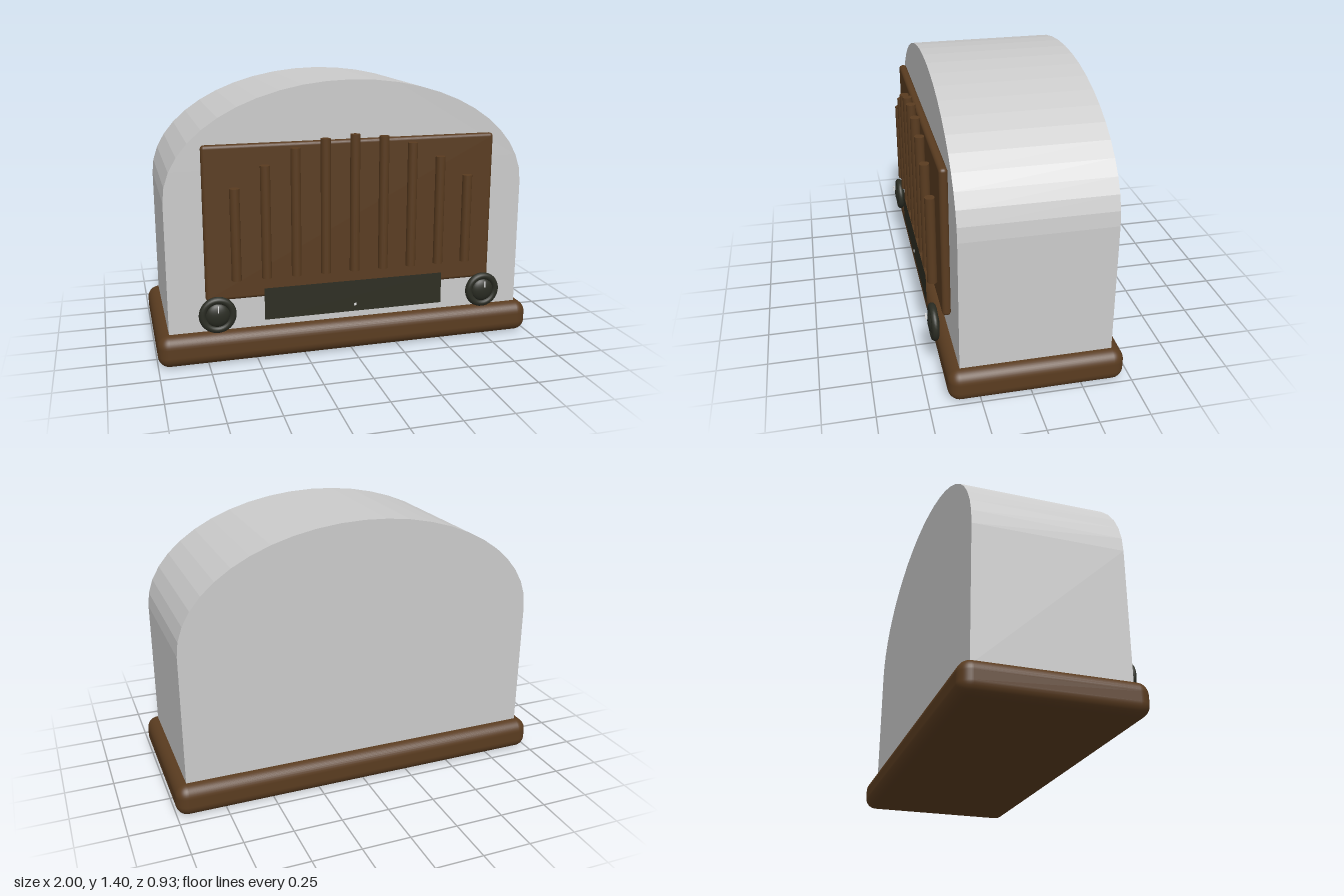
import * as THREE from 'three';
import { RoundedBoxGeometry } from 'three/addons/geometries/RoundedBoxGeometry.js';

const material = (name, color, extra = {}) => {
  const m = new THREE.MeshStandardMaterial({ color, ...extra });
  m.name = name;
  return m;
};

export function createModel() {
  const shell = material('pale grey shell', 0xcbcbcb);
  const wood = material('brown wood', 0x5a3c20);
  const dialDark = material('dark olive dial', 0x2e2e22, { side: THREE.DoubleSide });
  const knobDark = material('dark knob', 0x2b2d24);
  const white = material('white marking', 0xe8e8e8);

  const model = new THREE.Group();
  model.name = 'tableRadio';
  const add = (name, geometry, mat, x, y, z, parent = model) => {
    const mesh = new THREE.Mesh(geometry, mat);
    mesh.name = name;
    mesh.position.set(x, y, z);
    parent.add(mesh);
    return mesh;
  };

  // Rounded plinth
  add('base', new RoundedBoxGeometry(2, 0.165, 0.87, 5, 0.06), wood, 0, 0.0825, -0.03);

  // Cabinet: straight sides under a half-ellipse arch
  const outline = new THREE.Shape();
  outline.moveTo(-0.94, 0.15);
  outline.lineTo(0.94, 0.15);
  outline.lineTo(0.94, 0.84);
  outline.absellipse(0, 0.84, 0.94, 0.565, 0, Math.PI, false, 0);
  outline.closePath();
  const cabinet = new THREE.ExtrudeGeometry(outline, { depth: 0.75, bevelEnabled: false, curveSegments: 12 });
  add('cabinet', cabinet, shell, 0, 0, -0.405);

  // Speaker panel with vertical grille bars
  add('speakerPanel', new RoundedBoxGeometry(1.51, 0.78, 0.042, 4, 0.018), wood, 0, 0.725, 0.369);
  const barTops = [1.145, 1.13, 1.09, 1.012, 0.907];
  const barBottom = 0.445;
  for (let i = -4; i <= 4; i++) {
    const height = barTops[Math.abs(i)] - barBottom;
    add('grilleBar', new THREE.CylinderGeometry(0.025, 0.025, height, 16), wood,
      i * 0.151, barBottom + height / 2, 0.415);
  }

  // Flat tuning dial with a tiny centre mark
  add('dialPlate', new THREE.PlaneGeometry(0.94, 0.165), dialDark, 0, 0.3125, 0.43);
  add('dialMark', new THREE.BoxGeometry(0.012, 0.012, 0.004), white, 0, 0.267, 0.432);

  // Control knobs: rim ring, domed cap and pointer
  for (const side of [-1, 1]) {
    const knob = new THREE.Group();
    knob.name = side > 0 ? 'leftKnob' : 'rightKnob';
    knob.position.set(side * 0.705, 0.28, 0.43);
    model.add(knob);
    add('knobRim', new THREE.TorusGeometry(0.075, 0.0185, 12, 36), knobDark, 0, 0, 0, knob);
    const cap = add('knobCap', new THREE.SphereGeometry(0.062, 28, 18), knobDark, 0, 0, 0, knob);
    cap.scale.z = 0.46;
    add('knobPointer', new THREE.BoxGeometry(0.005, 0.033, 0.008), white, 0, 0.038, 0.035, knob);
  }

  return model;
}
